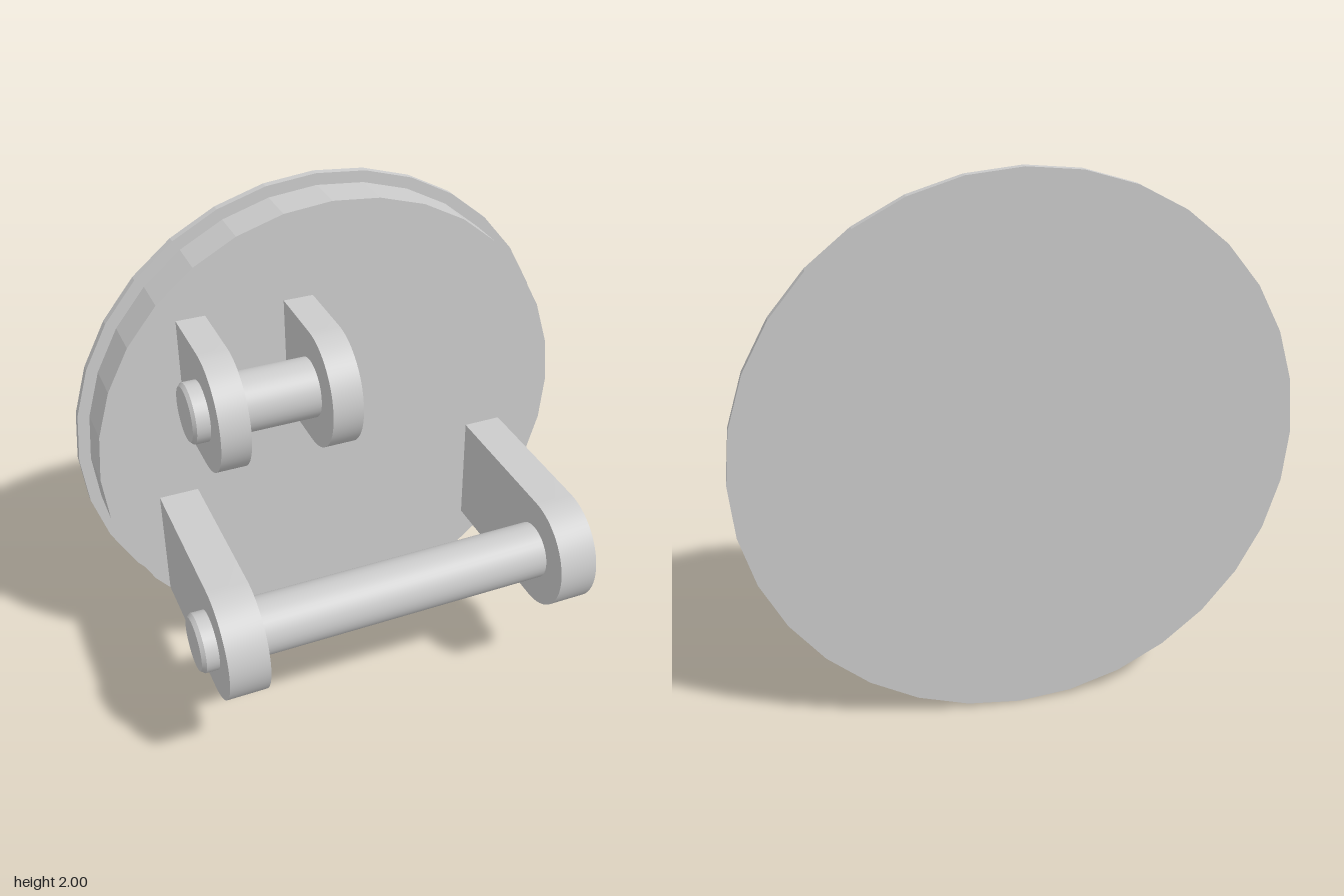
import * as THREE from 'three';
import { toCreasedNormals } from 'three/addons/utils/BufferGeometryUtils.js';

const PLATE_FRONT = -0.32;

export function createModel() {
  const model = new THREE.Group();
  model.name = 'wallBracket';
  const grey = new THREE.MeshStandardMaterial({ color: 0xcccccc });
  const faceted = new THREE.MeshStandardMaterial({ color: 0xcccccc, flatShading: true });

  const add = (name, geometry, material, x, y, z, parent = model) => {
    const mesh = new THREE.Mesh(geometry, material);
    mesh.name = name;
    mesh.position.set(x, y, z);
    parent.add(mesh);
  };
  const lathe = (points, sides) =>
    new THREE.LatheGeometry(points.map(([r, h]) => new THREE.Vector2(r, h)), sides);

  // Round back plate with a thin, wider flange at the rear
  const plate = lathe(
    [[0, -0.51], [1, -0.51], [1, -0.48], [0.955, -0.48], [0.955, PLATE_FRONT], [0, PLATE_FRONT]], 32);
  plate.rotateX(Math.PI / 2);
  add('backPlate', plate, faceted, 0, 1, 0);

  // Lug: flat slab running out from the plate to a half-round nose around the pin
  function lug(name, x0, x1, y, z, r, parent) {
    const shape = new THREE.Shape();
    const back = PLATE_FRONT - 0.01 - z;
    shape.moveTo(back, -r);
    shape.lineTo(0, -r);
    shape.absarc(0, 0, r, -Math.PI / 2, Math.PI / 2, false);
    shape.lineTo(back, r);
    shape.closePath();
    const width = x1 - x0;
    const g = new THREE.ExtrudeGeometry(shape, { depth: width, bevelEnabled: false, curveSegments: 16 });
    g.translate(0, 0, -width / 2);
    g.rotateY(-Math.PI / 2);
    add(name, toCreasedNormals(g, 0.5), grey, (x0 + x1) / 2, y, z, parent);
  }

  // Round pin along x, from a profile of [radius, x]
  function pin(name, profile, y, z, parent) {
    const g = lathe(profile, 32);
    g.rotateZ(-Math.PI / 2);
    add(name, toCreasedNormals(g, 0.5), grey, 0, y, z, parent);
  }

  // Small upper clevis: the pin has a wide head set flush in the inner lug
  const upper = new THREE.Group();
  upper.name = 'upperClevis';
  model.add(upper);
  lug('upperOuterLug', -0.61, -0.5, 1.375, -0.06, 0.225, upper);
  lug('upperInnerLug', -0.2, -0.085, 1.375, -0.06, 0.225, upper);
  pin('upperPin', [[0, -0.672], [0.1, -0.672], [0.112, -0.66], [0.112, -0.14],
    [0.163, -0.14], [0.163, -0.083], [0, -0.083]], 1.375, -0.06, upper);

  // Wide lower clevis with a long pin that sticks out at both ends
  const lower = new THREE.Group();
  lower.name = 'lowerClevis';
  model.add(lower);
  for (const [name, x] of [['lowerLeftLug', 0.585], ['lowerRightLug', -0.74]])
    lug(name, x, x + 0.153, 0.63, 0.284, 0.226, lower);
  pin('lowerPin', [[0, -0.803], [0.1, -0.803], [0.112, -0.788],
    [0.112, 0.788], [0.1, 0.803], [0, 0.803]], 0.63, 0.284, lower);

  return model;
}
